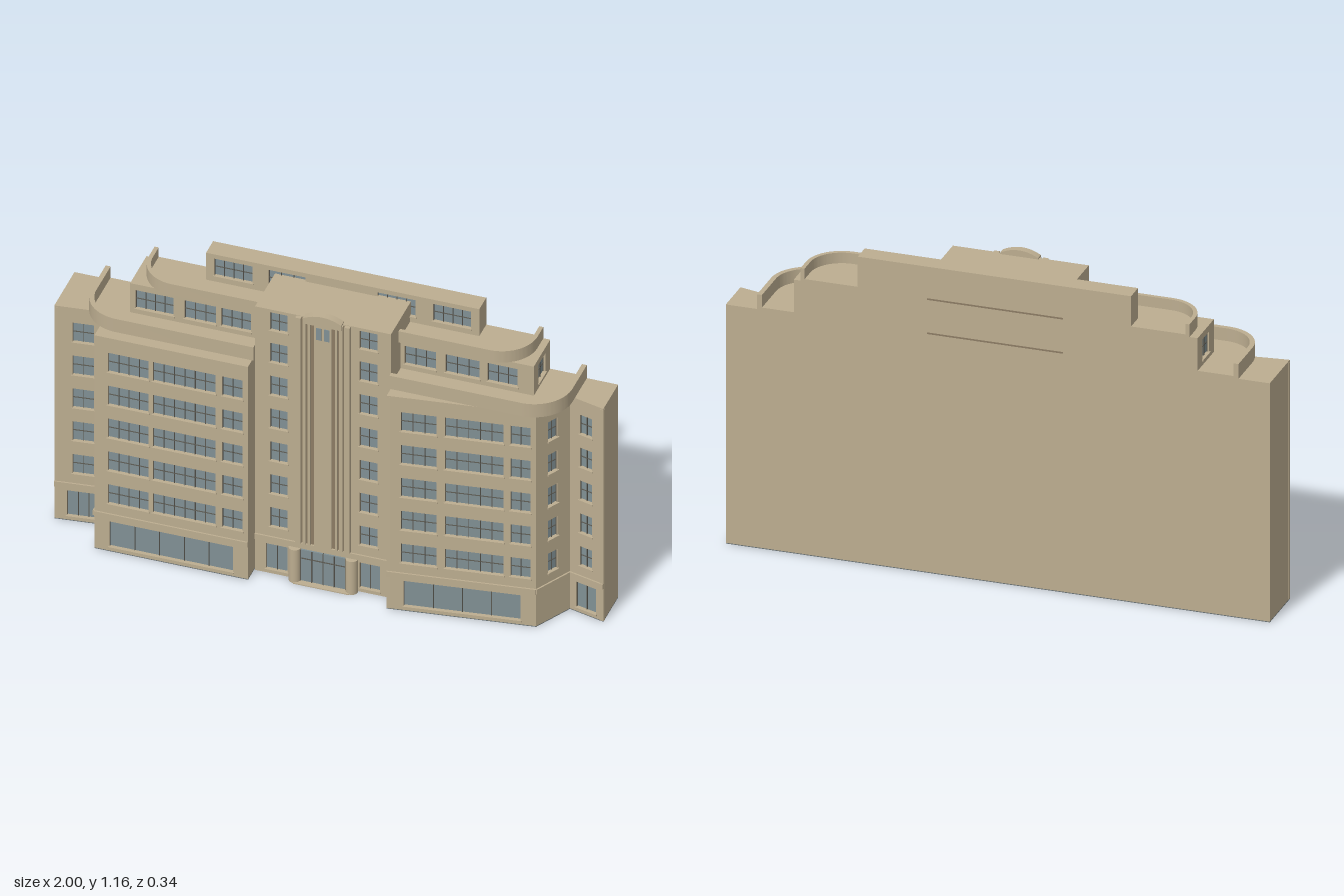
import * as THREE from 'three';
import { mergeGeometries, toCreasedNormals } from 'three/addons/utils/BufferGeometryUtils.js';

const flat = (name, color) => {
  const m = new THREE.MeshStandardMaterial({ color });
  m.name = name;
  return m;
};
const stone = flat('stone', 0xbcad90);
const glass = flat('glass', 0x809094);
const frame = flat('frame', 0x5c5a52);
const trim = flat('trim', 0x8c7c64);
const base = flat('base', 0x6c7476);

const BACK = -0.17, DEPTH = 0.012, CAP = 0.006;

function add(parent, name, geometry, material) {
  const mesh = new THREE.Mesh(geometry, material);
  mesh.name = name;
  parent.add(mesh);
  return mesh;
}

// Box given by its two extreme corners
function box(x0, x1, y0, y1, z0, z1) {
  return new THREE.BoxGeometry(x1 - x0, y1 - y0, z1 - z0)
    .translate((x0 + x1) / 2, (y0 + y1) / 2, (z0 + z1) / 2);
}

// Plan shape drawn in (x, z), raised from y0 to y1
function raise(shape, y0, y1) {
  const g = new THREE.ExtrudeGeometry(shape, { depth: y1 - y0, bevelEnabled: false, curveSegments: 14 });
  return g.rotateX(Math.PI / 2).translate(0, y1, 0);
}
const outline = pts => new THREE.Shape(pts.map(p => new THREE.Vector2(p[0], p[1])));

// Plan outline moved inwards by d
function inset(pts, d) {
  const normal = (a, b) => {
    const l = Math.hypot(b[0] - a[0], b[1] - a[1]);
    return [-(b[1] - a[1]) / l, (b[0] - a[0]) / l];
  };
  return pts.map((p, i) => {
    const n = normal(pts.at(i - 1), p), m = normal(p, pts[(i + 1) % pts.length]);
    const k = d / (1 + n[0] * m[0] + n[1] * m[1]);
    return [p[0] - (n[0] + m[0]) * k, p[1] - (n[1] + m[1]) * k];
  });
}

// Wall panel from p to q with recessed windows [start, end, bottom, top, rows, paneWidth]
function wall(parent, name, p, q, y0, y1, windows, band) {
  const g = new THREE.Group();
  g.name = name;
  const dx = q[0] - p[0], dz = q[1] - p[1], len = Math.hypot(dx, dz);
  g.position.set(p[0], 0, p[1]);
  g.rotation.y = Math.atan2(-dz, dx);
  parent.add(g);
  const axis = Math.abs(dx) > 1e-6 ? 0 : 1;
  const along = v => (v - p[axis]) / (q[axis] - p[axis]) * len;

  const shape = outline([[0, y0], [len, y0], [len, y1], [0, y1]]);
  const panes = [], bars = [], sills = [];
  for (const [s, e, b, t, rows = 2, pane = 0.04] of windows) {
    const [u0, u1] = [along(s), along(e)].sort((m, n) => m - n);
    shape.holes.push(new THREE.Path([[u0, b], [u0, t], [u1, t], [u1, b]].map(c => new THREE.Vector2(...c))));
    panes.push(box(u0, u1, b, t, -DEPTH, -DEPTH + 0.002));
    const cols = Math.max(2, Math.round((u1 - u0) / pane));
    for (let i = 0; i <= cols; i++) {
      const u = u0 + (u1 - u0) * i / cols;
      bars.push(box(u - 0.0012, u + 0.0012, b, t, -DEPTH, -DEPTH + 0.006));
    }
    for (let i = 1; i < rows; i++) {
      const y = b + (t - b) * i / rows;
      bars.push(box(u0, u1, y - 0.0012, y + 0.0012, -DEPTH, -DEPTH + 0.005));
    }
    sills.push(box(u0 - 0.004, u1 + 0.004, b - 0.006, b, -0.004, 0.005));
  }
  const panel = new THREE.ExtrudeGeometry(shape, { depth: DEPTH, bevelEnabled: false });
  add(g, 'wallPanel', panel.translate(0, 0, -DEPTH), stone);
  if (panes.length) {
    add(g, 'windowGlass', mergeGeometries(panes), glass);
    add(g, 'windowBars', mergeGeometries(bars), frame);
    add(g, 'windowSills', mergeGeometries(sills), stone);
  }
  if (band) add(g, 'stringCourse', box(0, len, 0.14, 0.162, -0.004, 0.006), stone);
}

// Block with a solid core, a roof slab and one wall per outline edge
function block(parent, name, pts, y0, y1, windows, banded = []) {
  const g = new THREE.Group();
  g.name = name;
  parent.add(g);
  add(g, 'core', raise(outline(inset(pts, DEPTH)), y0, y1 - CAP), stone);
  add(g, 'roofSlab', raise(outline(pts), y1 - CAP, y1), stone);
  pts.forEach((p, i) => wall(g, 'wall' + i, p, pts[(i + 1) % pts.length], y0, y1 - CAP,
    windows[i] || [], banded.includes(i)));
}

// Half of a balcony around a rounded corner: floor and parapet
function balcony(parent, name, xIn, xOut, zf, r, t, y0, y1) {
  const s = Math.sign(xOut), cx = xOut - s * r, cz = zf - r, side = s > 0 ? 0 : Math.PI;
  const plan = () => {
    const c = new THREE.Shape();
    c.moveTo(xIn, zf);
    c.lineTo(cx, zf);
    c.absarc(cx, cz, r, Math.PI / 2, side, s > 0);
    c.lineTo(xOut, BACK);
    return c;
  };
  const floor = plan();
  floor.lineTo(xIn, BACK);
  const rail = plan();
  rail.lineTo(xOut - s * t, BACK);
  rail.lineTo(xOut - s * t, cz);
  rail.absarc(cx, cz, r - t, side, Math.PI / 2, s < 0);
  rail.lineTo(xIn, zf - t);
  add(parent, name + 'Floor', toCreasedNormals(raise(floor, y0, y0 + 0.008), 0.6), stone);
  add(parent, name + 'Parapet', toCreasedNormals(raise(rail, y0 + 0.002, y1), 0.6), stone);
}

// The same window repeated on each floor
function floors(ranges, count = 5) {
  return ranges.flatMap(([s, e]) => Array.from({ length: count }, (_, i) =>
    [s, e, 0.203 + 0.1405 * i, 0.285 + 0.1405 * i]));
}
const shop = (s, e, pane = 0.1) => [s, e, 0.02, 0.127, 1, pane];

export function createModel() {
  const model = new THREE.Group();
  model.name = 'apartmentBuilding';

  // Main building with two front bays and two set-back wings
  const plan = [[-1, BACK], [-1, 0.04], [-0.81, 0.018], [-0.81, 0.16], [-0.245, 0.16], [-0.245, 0.085],
    [0.265, 0.085], [0.265, 0.16], [0.79, 0.09], [0.865, -0.05], [1, -0.016], [1, BACK]];
  block(model, 'mainBuilding', plan, 0.003, 0.91, {
    1: [...floors([[-0.935, -0.86]]), shop(-0.955, -0.84, 0.04)],
    3: [...floors([[-0.76, -0.61], [-0.595, -0.365], [-0.34, -0.265]]), shop(-0.755, -0.3)],
    7: [...floors([[0.315, 0.44], [0.47, 0.675], [0.7, 0.77]]), shop(0.325, 0.735)],
    8: floors([[0.817, 0.838]]),
    9: [...floors([[0.905, 0.955]]), shop(0.89, 0.97, 0.04)],
  }, [1, 2, 3, 7, 8, 9]);
  add(model, 'basePlate', raise(outline(plan), 0, 0.003), base);

  // Central tower
  const tw0 = -0.24, tw1 = 0.26, front = 0.1, mid = 0.0125;
  block(model, 'tower', [[tw0, -0.11], [tw0, front], [tw1, front], [tw1, -0.11]], 0.003, 1.13, {
    1: [...floors([[-0.185, -0.12], [0.145, 0.21]], 6), shop(-0.2, -0.12, 0.04), shop(0.145, 0.22, 0.04),
      [-0.185, -0.12, 1.042, 1.118], [0.145, 0.21, 1.042, 1.118]],
  }, [1]);

  // Tower centrepiece: fluted ribs, middle pier and arched crest
  const ornament = new THREE.Group();
  ornament.name = 'towerOrnament';
  model.add(ornament);
  add(ornament, 'ribBacking', box(mid - 0.1, mid + 0.1, 0.165, 1.125, front, front + 0.003), trim);
  add(ornament, 'middlePier', box(mid - 0.032, mid + 0.032, 0.165, 1.125, front, front + 0.01), stone);
  for (const s of [-1, 1]) {
    for (const [o, w] of [[0.05, 0.008], [0.068, 0.012], [0.09, 0.02]]) {
      const x = mid + s * o;
      add(ornament, 'rib', box(x - w / 2, x + w / 2, 0.165, 1.128, front, front + 0.014), stone);
    }
    add(ornament, 'crestWindow', box(mid + s * 0.015 - 0.01, mid + s * 0.015 + 0.01, 1.05, 1.1,
      front + 0.01, front + 0.012), glass);
  }
  const arch = new THREE.Shape();
  arch.moveTo(mid - 0.07, 1.112);
  arch.lineTo(mid + 0.07, 1.112);
  arch.lineTo(mid + 0.07, 1.135);
  arch.quadraticCurveTo(mid, 1.173, mid - 0.07, 1.135);
  const crest = new THREE.ExtrudeGeometry(arch, { depth: 0.029, bevelEnabled: false, curveSegments: 12 });
  add(ornament, 'crest', toCreasedNormals(crest.translate(0, 0, 0.088), 0.6), stone);

  // Entrance with rounded side pillars
  const entrance = new THREE.Group();
  entrance.name = 'entrance';
  model.add(entrance);
  add(entrance, 'doorGlass', box(-0.07, 0.095, 0, 0.135, front, front + 0.006), glass);
  for (let i = 0; i <= 4; i++) {
    const x = -0.07 + 0.165 * i / 4;
    add(entrance, 'doorBar', box(x - 0.0015, x + 0.0015, 0, 0.135, front, front + 0.009), frame);
  }
  add(entrance, 'doorRail', box(-0.07, 0.095, 0.099, 0.102, front, front + 0.009), frame);
  add(entrance, 'doorStep', box(-0.09, 0.115, 0, 0.004, front, front + 0.03), stone);
  for (const x of [-0.092, 0.117]) {
    const pillar = new THREE.CylinderGeometry(0.022, 0.022, 0.14, 20).translate(x, 0.07, front + 0.004);
    add(entrance, 'entrancePillar', pillar, stone);
  }

  // Stepped upper storeys
  const upper = (a, b) => [a, b, 0.94, 1.017];
  block(model, 'upperStorey', [[-0.735, BACK], [-0.735, 0], [0.75, 0], [0.75, BACK]], 0.905, 1.042, {
    0: [upper(-0.12, -0.05)],
    1: [upper(-0.715, -0.575), upper(-0.535, -0.42), upper(-0.4, -0.29),
      upper(0.275, 0.39), upper(0.425, 0.55), upper(0.58, 0.69)],
    2: [upper(-0.12, -0.05)],
  });
  const attic = (a, b) => [a, b, 1.075, 1.147];
  block(model, 'atticStorey', [[-0.49, BACK], [-0.49, -0.097], [0.515, -0.097], [0.515, BACK]], 1.035, 1.165, {
    1: [attic(-0.46, -0.32), attic(-0.26, -0.125), attic(0.14, 0.28), attic(0.345, 0.485)],
  });

  // Rounded balconies either side of the tower
  for (const s of [-1, 1]) {
    const xIn = s < 0 ? tw0 : tw1;
    balcony(model, 'lowerBalcony', xIn, s * 0.885, 0.118, 0.14, 0.018, 0.91, 0.966);
    balcony(model, 'upperBalcony', xIn, s < 0 ? -0.705 : 0.725, 0.021, 0.13, 0.015, 1.042, 1.09);
  }

  // Narrow joints on the back wall
  for (const y of [0.912, 1.042]) {
    add(model, 'backJoint', box(tw0, tw1, y - 0.003, y + 0.003, BACK - 0.001, BACK + 0.002), trim);
  }
  return model;
}
